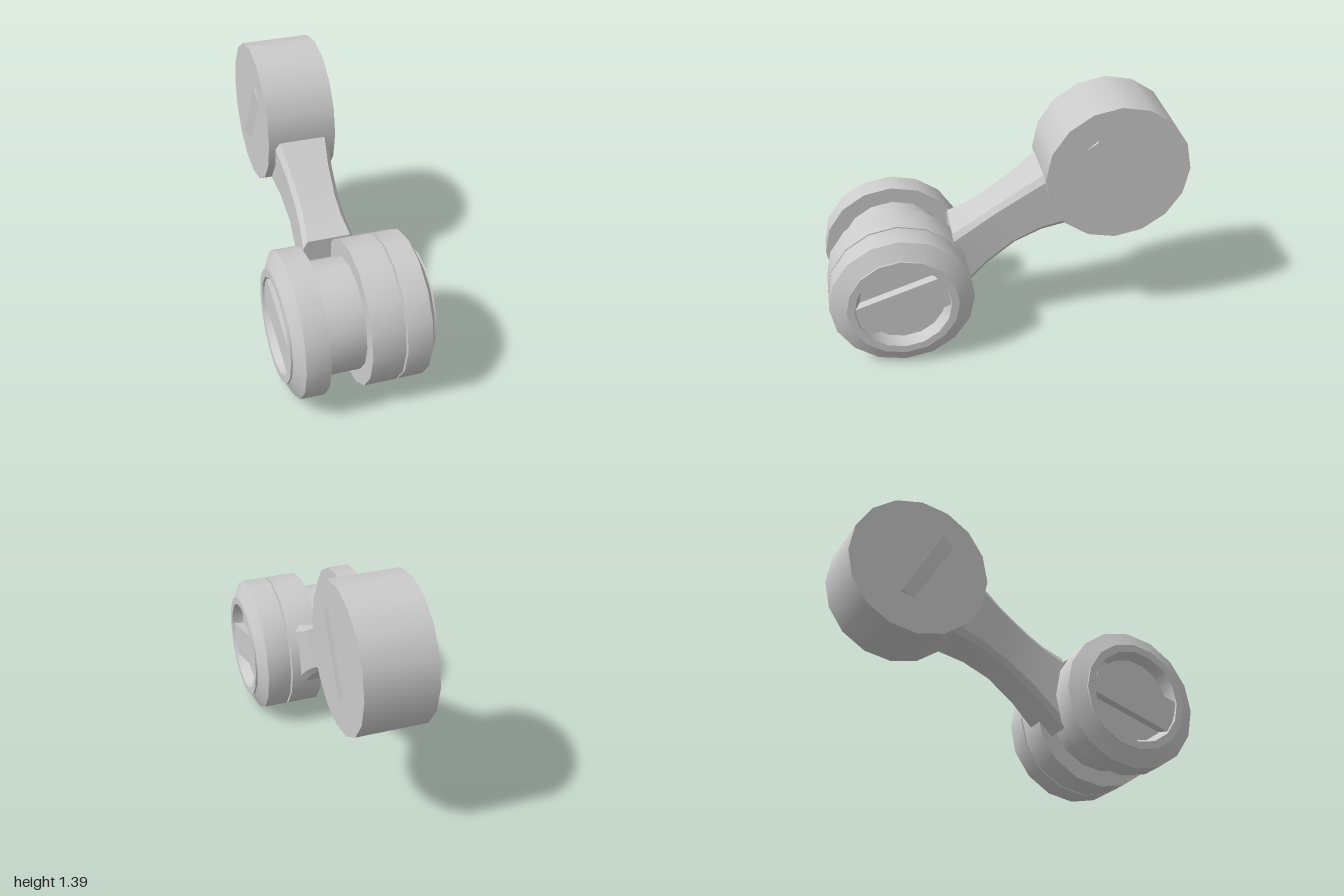
import * as THREE from 'three';
import { toCreasedNormals } from 'three/addons/utils/BufferGeometryUtils.js';
import { ConvexGeometry } from 'three/addons/geometries/ConvexGeometry.js';

const SIDES = 16;
const CREASE = 0.55;

function armGeometry() {
  // Stations from drum to disc: top z, top y, bottom z, bottom y, half width
  const stations = [
    [0.30, 0.67, 0.30, 0.25, 0.145],
    [0.19, 0.725, 0.10, 0.45, 0.13],
    [0.09, 0.79, -0.05, 0.565, 0.125],
    [-0.07, 0.90, -0.20, 0.64, 0.135],
    [-0.20, 1.0, -0.37, 0.69, 0.155],
    [-0.35, 1.1, -0.45, 0.75, 0.16],
  ];
  const pos = [], index = [];
  for (const [tz, ty, bz, by, w] of stations) {
    const n = w - 0.025;
    // Chamfered rectangle, counterclockwise from the front
    const ring = [[n, 1], [w, 0.9], [w, 0.1], [n, 0], [-n, 0], [-w, 0.1], [-w, 0.9], [-n, 1]].reverse();
    for (const [x, t] of ring) pos.push(x, by + (ty - by) * t, bz + (tz - bz) * t);
  }
  for (let i = 1; i < 7; i++) index.push(0, i, i + 1);
  for (let s = 0; s < stations.length - 1; s++) {
    for (let i = 0; i < 8; i++) {
      const a = s * 8 + i, b = s * 8 + (i + 1) % 8;
      // ring is reversed, so it runs clockwise-corrected here
      index.push(a, a + 8, b, b, a + 8, b + 8);
    }
  }
  const g = new THREE.BufferGeometry();
  g.setAttribute('position', new THREE.Float32BufferAttribute(pos, 3));
  g.setIndex(index);
  return toCreasedNormals(g, CREASE);
}

export function createModel() {
  const group = new THREE.Group();
  const material = new THREE.MeshStandardMaterial({ color: 0xcccccc });
  const add = (name, geometry, parent = group) => {
    const m = new THREE.Mesh(geometry, material);
    m.name = name;
    parent.add(m);
    return m;
  };

  // Lower drum: grooved spool with a recess at each end
  const drum = new THREE.Group();
  drum.name = 'drum';
  drum.position.set(0, 0.4, 0.605);
  group.add(drum);
  const end = [[0, 0.33], [0.235, 0.33], [0.262, 0.39], [0.305, 0.39], [0.305, 0.38], [0.395, 0.335]];
  const profile = [
    ...end.map(([r, x]) => [r, -x]),
    [0.395, -0.205], [0.305, -0.205], [0.305, 0.012], [0.395, 0.012],
    [0.395, 0.19], [0.305, 0.19], [0.305, 0.2], [0.395, 0.2],
    ...[...end].reverse(),
  ].map(([r, x]) => new THREE.Vector2(r, x));
  const spool = add('spool', toCreasedNormals(new THREE.LatheGeometry(profile, SIDES), CREASE), drum);
  spool.rotation.z = -Math.PI / 2;

  // Upper disc
  const disc = add('upperDisc', new THREE.CylinderGeometry(0.4, 0.4, 0.385, SIDES));
  disc.rotation.z = -Math.PI / 2;
  disc.position.set(0, 1, -0.6);

  // Connecting arm
  add('arm', armGeometry());

  for (const s of [1, -1]) {
    const side = s > 0 ? 'left' : 'right';
    // Bar across the drum recess
    const bar = add(side + 'RecessBar', new THREE.BoxGeometry(0.06, 0.193, 0.505), drum);
    bar.position.x = s * 0.35;
    bar.rotation.x = 0.328;

    // Sloping ridge on the disc face
    const ridge = [
      [0.208, 1.215, -0.475], [0.208, 0.825, -0.705],
      [0.17, 1.215, -0.475], [0.17, 0.825, -0.705],
      [0.19, 1.15, -0.40], [0.19, 0.80, -0.61],
    ].map(([x, y, z]) => new THREE.Vector3(s * x, y, z));
    add(side + 'Ridge', new ConvexGeometry(ridge));
  }
  return group;
}
